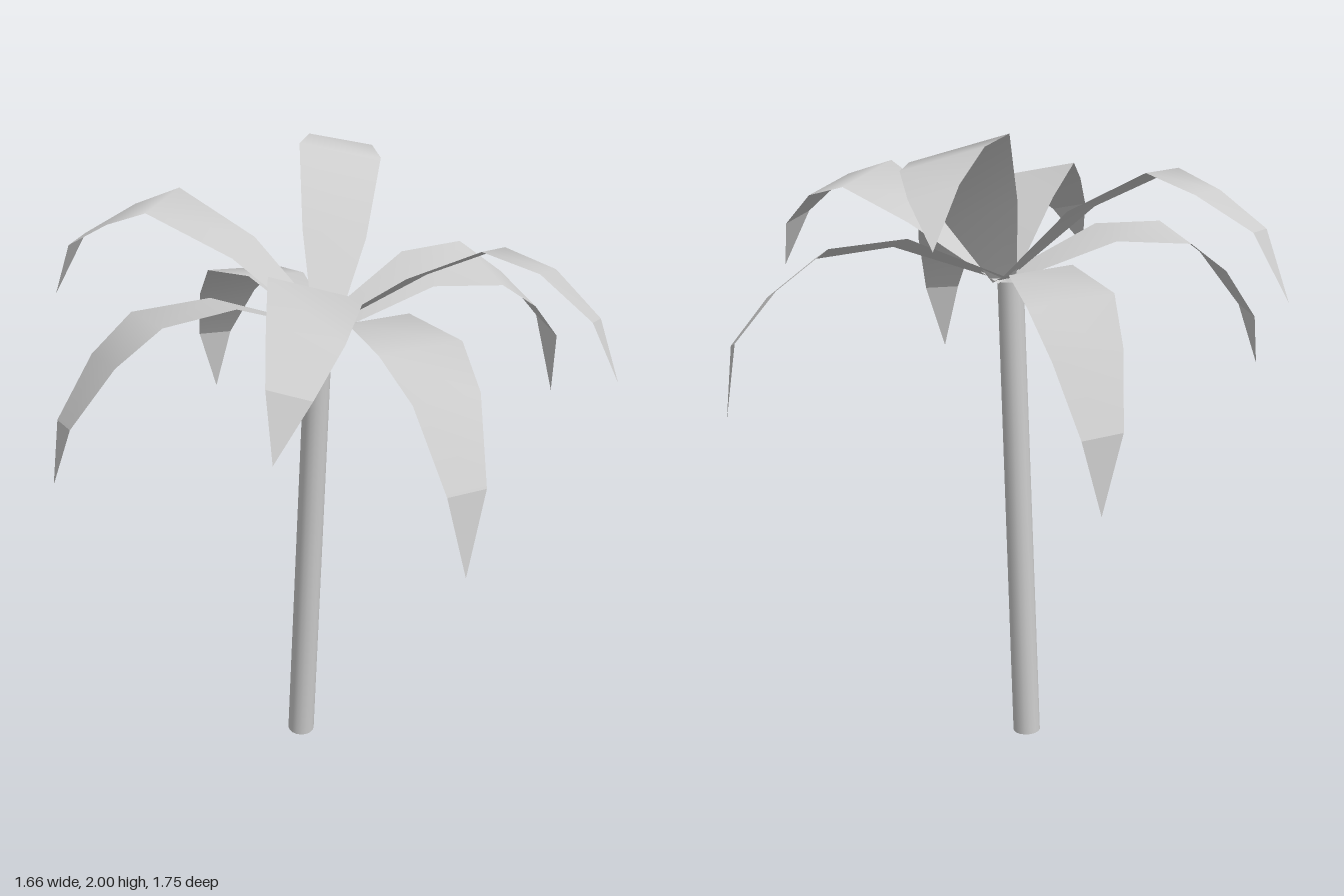
import * as THREE from 'three';

const material = new THREE.MeshStandardMaterial({ color: 0xcccccc });
const leafMaterial = new THREE.MeshStandardMaterial({ color: 0xcccccc, side: THREE.DoubleSide });

// Blade width at each cross row, from the stem to the last row before the tip
const WIDTHS = [0.07, 0.195, 0.255, 0.205, 0.12];
const CROWN_X = 0.015;

// angle: heading in degrees from +z towards +x; bend: sideways bow of the spine
// roll, skew: height and reach difference between the two edges
// spine: [distance out, height] for each row, the last one being the pointed tip
const FRONDS = [
  { name: 'backFrond', angle: 176.5, roll: 0.07, bend: -0.045, skew: -0.11,
    spine: [[0, 1.53], [0.2, 1.76], [0.405, 1.965], [0.6, 1.955], [0.76, 1.89], [0.88, 1.76]] },
  { name: 'backLeftFrond', angle: 115, roll: 0.07, bend: 0.025,
    spine: [[0, 1.53], [0.33, 1.66], [0.57, 1.64], [0.72, 1.53], [0.84, 1.385], [0.87, 1.15]] },
  { name: 'frontLeftFrond', angle: 65.5, roll: -0.06, bend: 0.03,
    spine: [[0, 1.53], [0.28, 1.72], [0.5, 1.825], [0.66, 1.78], [0.81, 1.66], [0.89, 1.49]] },
  { name: 'frontInnerLeftFrond', angle: 23, roll: 0, bend: 0.03,
    spine: [[0, 1.53], [0.31, 1.66], [0.535, 1.65], [0.68, 1.56], [0.82, 1.35], [0.865, 1.12]] },
  { name: 'frontFrond', angle: -11, roll: -0.05, bend: 0.045,
    spine: [[0, 1.53], [0.27, 1.73], [0.46, 1.815], [0.63, 1.75], [0.79, 1.65], [0.885, 1.5]] },
  { name: 'frontRightFrond', angle: -65.5, roll: 0.035, bend: 0,
    spine: [[0, 1.53], [0.33, 1.66], [0.565, 1.65], [0.7, 1.55], [0.83, 1.38], [0.875, 1.2]] },
  { name: 'rightFrond', angle: -110, roll: -0.01, bend: 0.025,
    spine: [[0, 1.53], [0.25, 1.76], [0.5, 1.885], [0.64, 1.83], [0.8, 1.735], [0.9, 1.54]] },
  { name: 'backRightFrond', angle: -153.5, roll: 0.025, bend: 0.015,
    spine: [[0, 1.53], [0.3, 1.61], [0.53, 1.565], [0.66, 1.44], [0.785, 1.25], [0.81, 1.035]] },
];

// A drooping blade: a strip of left/right pairs that closes in a creased tip triangle
function frondGeometry({ angle, roll, bend, skew = 0, spine }) {
  const a = THREE.MathUtils.degToRad(angle);
  const out = new THREE.Vector3(Math.sin(a), 0, Math.cos(a));
  const side = new THREE.Vector3(Math.cos(a), 0, -Math.sin(a));
  const tipRow = WIDTHS.length;
  const at = (row, half) => {
    const [r, y] = spine[row];
    const bow = bend * Math.sin(Math.PI * row / tipRow);
    return new THREE.Vector3(CROWN_X, y + roll * half * 4, 0)
      .addScaledVector(out, r + skew * half * 4)
      .addScaledVector(side, half + bow);
  };

  const points = [];
  const index = [];
  WIDTHS.forEach((w, row) => {
    points.push(at(row, w / 2), at(row, -w / 2));
    if (row < tipRow - 1) {
      const k = row * 2;
      index.push(k, k + 1, k + 2, k + 1, k + 3, k + 2);
    }
  });
  // Own corners for the tip keep the fold sharp
  const t = points.length;
  points.push(points[t - 2].clone(), points[t - 1].clone(), at(tipRow, 0));
  index.push(t, t + 1, t + 2);

  const geometry = new THREE.BufferGeometry().setFromPoints(points);
  geometry.setIndex(index);
  geometry.computeVertexNormals();
  return geometry;
}

export function createModel() {
  const model = new THREE.Group();
  model.name = 'palmTree';

  // Slender trunk leaning from its foot to the crown
  const foot = new THREE.Vector3(-0.065, 0.002, -0.046);
  const top = new THREE.Vector3(-0.003, 1.525, 0.004);
  const lean = top.clone().sub(foot);
  const trunk = new THREE.Mesh(new THREE.CylinderGeometry(0.041, 0.045, lean.length(), 16), material);
  trunk.name = 'trunk';
  trunk.position.copy(foot).add(top).multiplyScalar(0.5);
  trunk.quaternion.setFromUnitVectors(new THREE.Vector3(0, 1, 0), lean.normalize());
  model.add(trunk);

  // Crown of fronds
  const crown = new THREE.Group();
  crown.name = 'crown';
  for (const frond of FRONDS) {
    const mesh = new THREE.Mesh(frondGeometry(frond), leafMaterial);
    mesh.name = frond.name;
    crown.add(mesh);
  }
  model.add(crown);
  return model;
}
